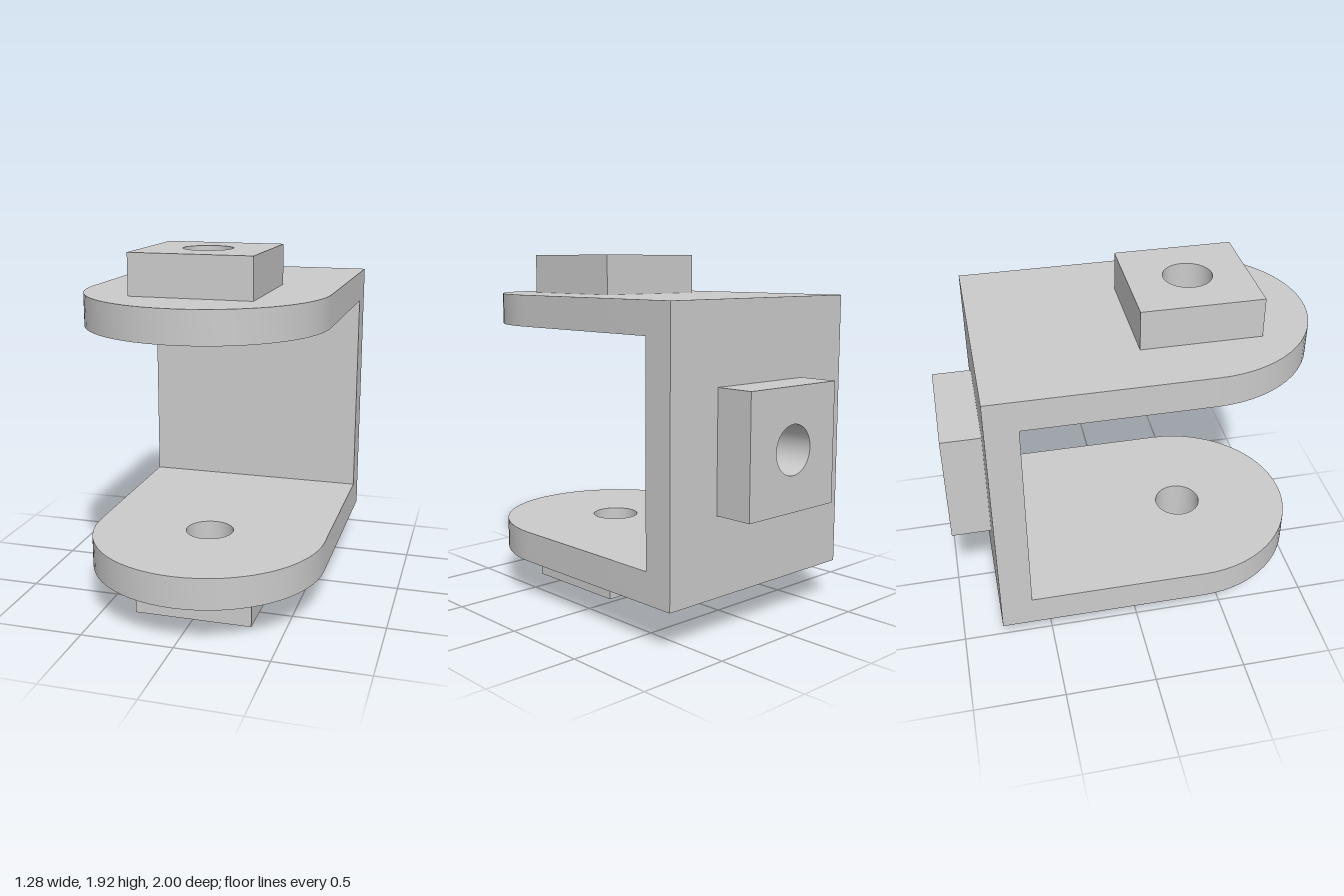
import * as THREE from 'three';
import { toCreasedNormals } from 'three/addons/utils/BufferGeometryUtils.js';

const HALF_W = 0.64, HOLE_R = 0.13, HOLE_Z = 0.36; // fork width, bore and bore axis
const PLATE = 0.17, BOSS = 0.215, BACK = -0.785, HEIGHT = 1.92;

export function createModel() {
  const group = new THREE.Group();
  const material = new THREE.MeshStandardMaterial({ color: 0xcccccc });

  const add = (name, geometry, x, y, z) => {
    const mesh = new THREE.Mesh(geometry, material);
    mesh.name = name;
    mesh.position.set(x, y, z);
    group.add(mesh);
  };

  // Extrudes an outline with a round bore, keeping curved sides smooth
  const bored = (shape, depth, holeY) => {
    const hole = new THREE.Path();
    hole.absarc(0, holeY, HOLE_R, 0, Math.PI * 2, true);
    shape.holes.push(hole);
    const geometry = new THREE.ExtrudeGeometry(shape, { depth, bevelEnabled: false, curveSegments: 16 });
    return toCreasedNormals(geometry, 0.5);
  };

  // Square boss with a central bore, extruded along z
  const boss = () => {
    const s = 0.32;
    const shape = new THREE.Shape([[-s, -s], [s, -s], [s, s], [-s, s]].map(([x, y]) => new THREE.Vector2(x, y)));
    return bored(shape, BOSS, 0);
  };

  // Fork plate, square at the back and round at the front
  const plate = () => {
    const shape = new THREE.Shape();
    shape.moveTo(-HALF_W, BACK);
    shape.lineTo(HALF_W, BACK);
    shape.lineTo(HALF_W, HOLE_Z);
    shape.absarc(0, HOLE_Z, HALF_W, 0, Math.PI, false);
    shape.closePath();
    return bored(shape, PLATE, HOLE_Z).rotateX(Math.PI / 2); // top face at y = 0
  };

  // Fork arms with their outer bosses
  add('upperPlate', plate(), 0, HEIGHT - BOSS, 0);
  add('lowerPlate', plate(), 0, BOSS + PLATE, 0);
  add('upperBoss', boss().rotateX(Math.PI / 2), 0, HEIGHT, HOLE_Z);
  add('lowerBoss', boss().rotateX(Math.PI / 2), 0, BOSS, HOLE_Z);

  // Back wall joining the arms; its boss has a blind bore
  const wallHeight = HEIGHT - 2 * (BOSS + PLATE);
  add('backWall', new THREE.BoxGeometry(HALF_W * 2, wallHeight, PLATE), 0, HEIGHT / 2, BACK + PLATE / 2);
  add('backBoss', boss(), 0, HEIGHT / 2, BACK - BOSS);

  return group;
}
